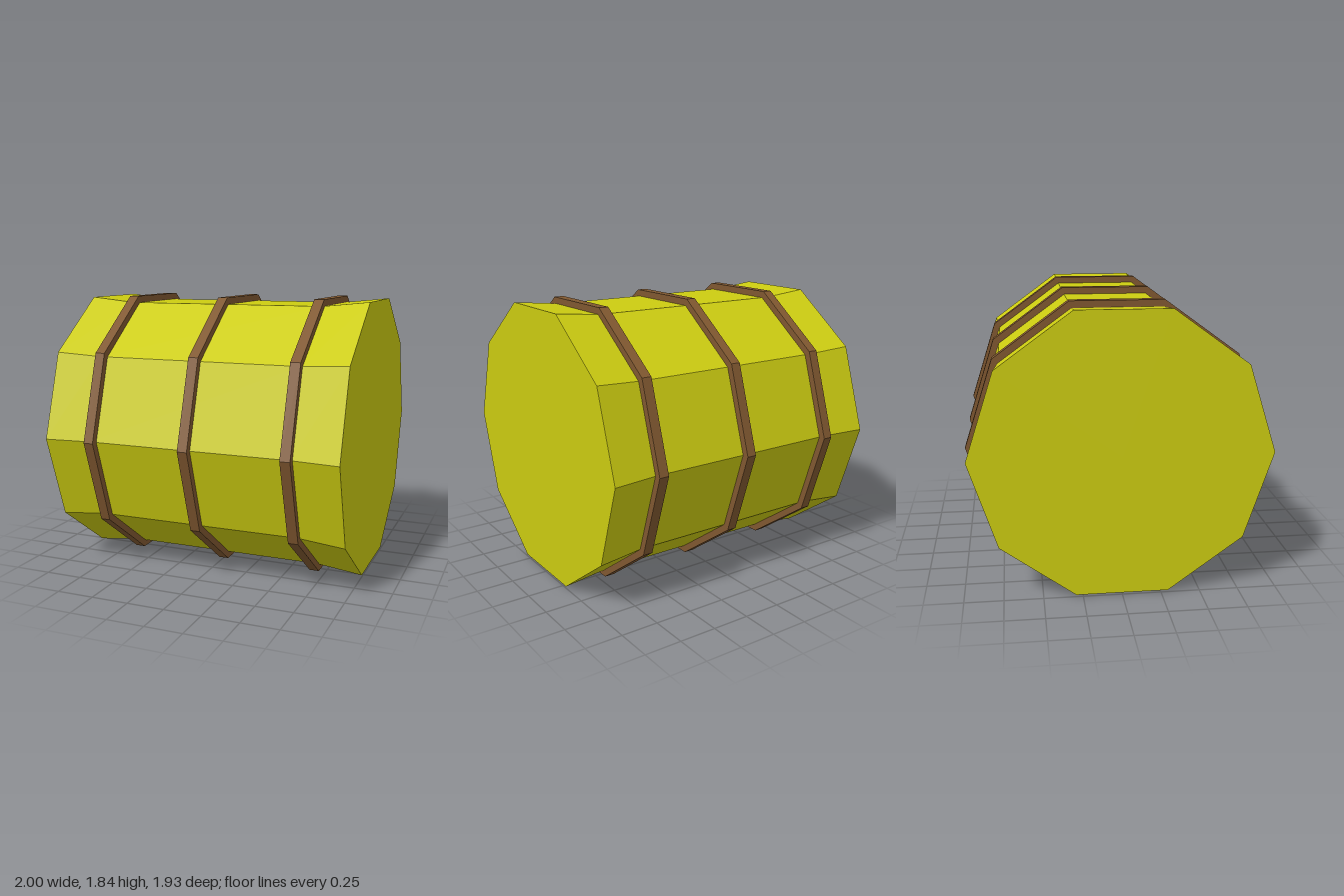
import * as THREE from 'three';

const SIDES = 10;

// Ten-sided solid of revolution lying along x; profile points are [radius, x]
function turned(name, profile, material) {
  const points = profile.map(([r, x]) => new THREE.Vector2(r, x));
  const mesh = new THREE.Mesh(new THREE.LatheGeometry(points, SIDES), material);
  mesh.name = name;
  mesh.rotation.z = -Math.PI / 2;
  return mesh;
}

export function createModel() {
  const model = new THREE.Group();
  model.name = 'barrel';
  const yellow = new THREE.MeshStandardMaterial({ color: 0xcccc11, flatShading: true });
  const brown = new THREE.MeshStandardMaterial({ color: 0x805830, flatShading: true });

  // Straight body with flared, closed ends
  const endR = 0.952, midR = 0.918, kink = 0.69;
  model.add(turned('body', [
    [0, -1], [endR, -1], [midR, -kink], [midR, kink], [endR, 1], [0, 1],
  ], yellow));

  // Three hoops around the body
  const outer = 0.965, inner = 0.9, half = 0.033;
  ['rightHoop', 'middleHoop', 'leftHoop'].forEach((name, i) => {
    const hoop = turned(name, [
      [inner, -half], [outer, -half], [outer, half], [inner, half], [inner, -half],
    ], brown);
    hoop.position.x = (i - 1) * 0.67;
    model.add(hoop);
  });

  // Rest the hoops' flat undersides on the ground
  const lift = outer * Math.cos(Math.PI / SIDES);
  model.children.forEach((part) => { part.position.y = lift; });
  return model;
}
